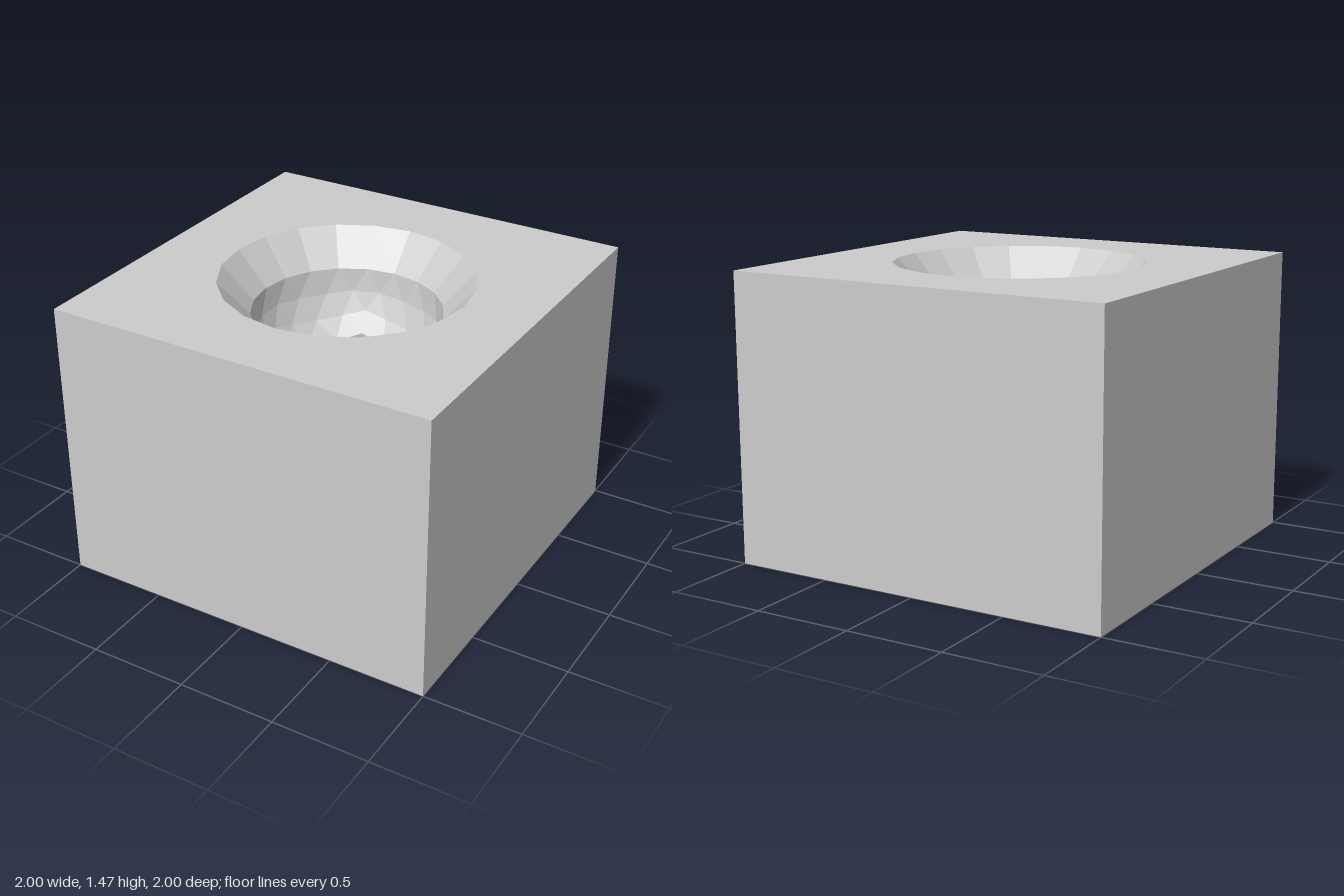
import * as THREE from 'three';

const H = 1.467, BOWL_Y = 1.29, BOWL_R = 0.477, RIM_R = 0.636, TUBE_Y = 0.34, SIDES = 20;

const material = new THREE.MeshStandardMaterial({ color: 0xcccccc, flatShading: true, side: THREE.DoubleSide });

function geometryFrom(positions) {
  const g = new THREE.BufferGeometry();
  g.setAttribute('position', new THREE.Float32BufferAttribute(positions, 3));
  g.computeVertexNormals();
  return g;
}

// Closed band of quads between two rings of points, facing the axis
function band(upper, lower) {
  const p = [];
  upper.forEach((a, i) => {
    const j = (i + 1) % upper.length;
    const b = upper[j], c = lower[j], d = lower[i];
    for (const v of [a, b, c, a, c, d]) p.push(v.x, v.y, v.z);
  });
  return geometryFrom(p);
}

const ring = (r, y) => Array.from({ length: SIDES }, (_, i) => {
  const a = (i / SIDES) * Math.PI * 2;
  return new THREE.Vector3(r * Math.cos(a), y, r * Math.sin(a));
});

// Lower half of a geodesic sphere, with its bottom cap removed
function bowlGeometry() {
  const s = new THREE.IcosahedronGeometry(1, 3);
  s.rotateZ(-Math.atan(2 / (1 + Math.sqrt(5))));
  const pos = s.attributes.position, p = [];
  for (let i = 0; i < pos.count; i += 3) {
    const ys = [0, 1, 2].map((k) => pos.getY(i + k));
    if (Math.max(...ys) > 0.001 || Math.min(...ys) < -0.766) continue;
    for (const k of [0, 2, 1]) {
      p.push(pos.getX(i + k) * BOWL_R, BOWL_Y + pos.getY(i + k) * BOWL_R, pos.getZ(i + k) * BOWL_R);
    }
  }
  return geometryFrom(p);
}

// Edge of the opening in the bowl: three points per fifth of a turn [polar, azimuth]
function bowlOpening() {
  const points = [];
  for (let k = 0; k < 5; k++) {
    for (const [polar, azimuth] of [[48.9, 0], [43.64, 22.39], [43.64, 49.61]]) {
      const t = THREE.MathUtils.degToRad(polar);
      const a = THREE.MathUtils.degToRad(180 + 72 * k + azimuth);
      points.push(new THREE.Vector3(
        BOWL_R * Math.sin(t) * Math.cos(a), BOWL_Y - BOWL_R * Math.cos(t), BOWL_R * Math.sin(t) * Math.sin(a)));
    }
  }
  return points;
}

export function createModel() {
  const group = new THREE.Group();
  const add = (name, geometry) => {
    const mesh = new THREE.Mesh(geometry, material);
    mesh.name = name;
    group.add(mesh);
    return mesh;
  };

  // Four walls, open underneath
  ['frontWall', 'leftWall', 'backWall', 'rightWall'].forEach((name, i) => {
    add(name, new THREE.PlaneGeometry(2, H).translate(0, H / 2, 1).rotateY((i * Math.PI) / 2));
  });

  // Top plate with a round hole
  const plate = new THREE.Shape([[-1, -1], [1, -1], [1, 1], [-1, 1]].map(([x, y]) => new THREE.Vector2(x, y)));
  plate.holes.push(new THREE.Path(ring(RIM_R, 0).map((v) => new THREE.Vector2(v.x, v.z))));
  add('topPlate', new THREE.ShapeGeometry(plate).rotateX(-Math.PI / 2).translate(0, H, 0));

  // Sloping rim, bowl and drain tube
  add('rim', band(ring(RIM_R, H), ring(BOWL_R, BOWL_Y)));
  add('bowl', bowlGeometry());
  const opening = bowlOpening();
  add('drainTube', band(opening, opening.map((v) => new THREE.Vector3(v.x, TUBE_Y, v.z))));

  return group;
}
